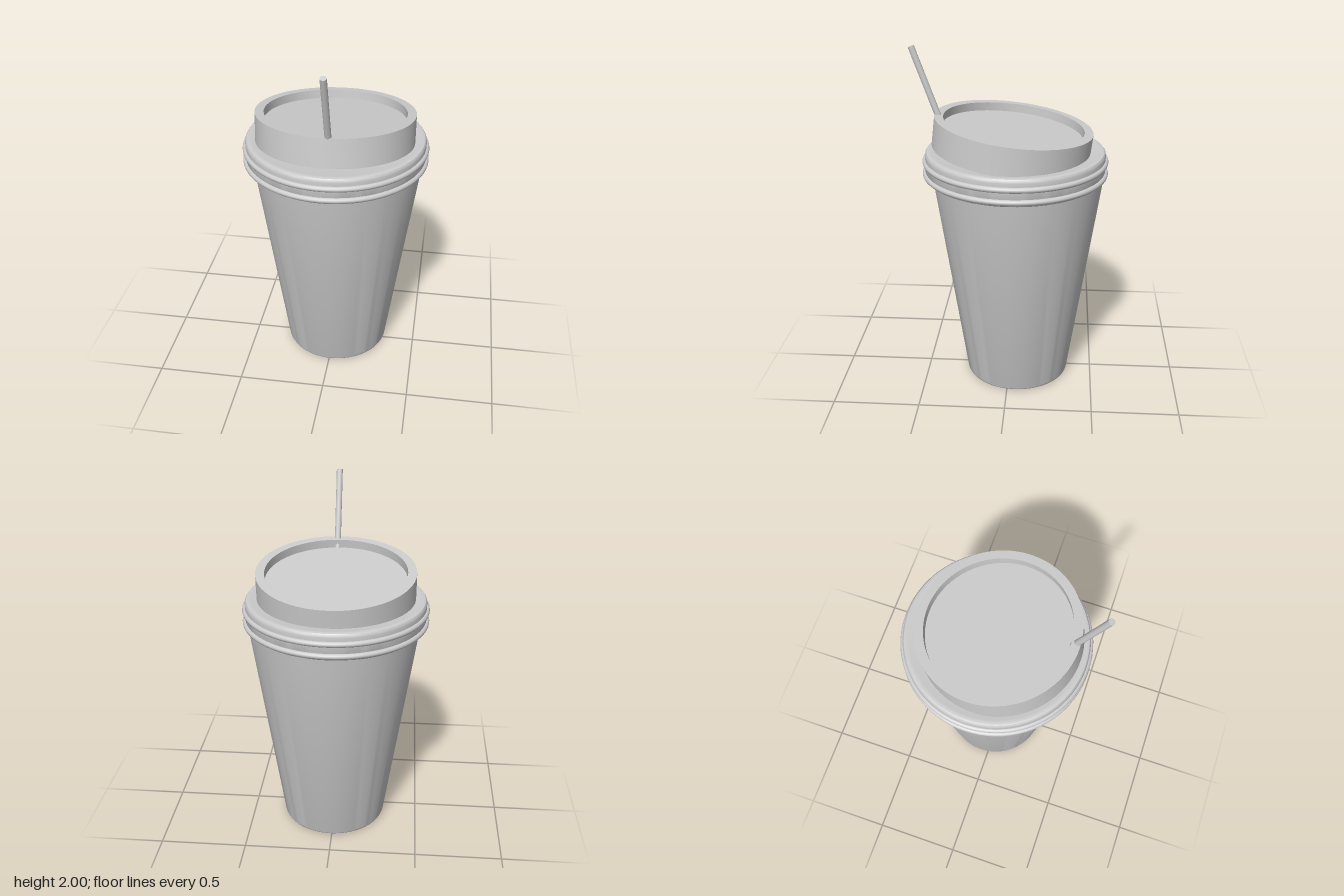
import * as THREE from 'three';
import { toCreasedNormals } from 'three/addons/utils/BufferGeometryUtils.js';

const plastic = new THREE.MeshStandardMaterial({ color: 0xcccccc });
plastic.name = 'light grey';

// Revolve a [radius, height] profile, keeping sharp corners sharp
function turned(name, profile, segments = 80) {
  const points = profile.map(([r, y]) => new THREE.Vector2(r, y));
  const geometry = toCreasedNormals(new THREE.LatheGeometry(points, segments), 0.6);
  const mesh = new THREE.Mesh(geometry, plastic);
  mesh.name = name;
  return mesh;
}

export function createModel() {
  const model = new THREE.Group();
  model.name = 'takeawayCup';

  // Tapered cup with a recessed base and rounded foot
  const cup = turned('cup', [
    [0, 0.04], [0.253, 0.04], [0.253, 0.004], [0.257, 0],
    [0.295, 0], [0.302, 0.004], [0.306, 0.011], [0.308, 0.02],
    [0.487, 1.25], [0.493, 1.29], [0, 1.29],
  ]);
  cup.position.set(0.008, 0, -0.047);
  model.add(cup);

  // Lid collar with two beads round its side
  const lid = new THREE.Group();
  lid.name = 'lid';
  lid.position.z = -0.03;
  lid.add(turned('lidCollar', [
    [0, 1.262], [0.5, 1.257], [0.508, 1.262], [0.513, 1.27],
    [0.513, 1.39], [0.511, 1.402], [0.505, 1.41], [0.496, 1.413],
    [0.475, 1.411], [0.44, 1.405], [0, 1.405],
  ]));
  for (const y of [1.285, 1.354]) {
    const bead = new THREE.Mesh(new THREE.TorusGeometry(0.513, 0.016, 12, 80), plastic);
    bead.name = 'lidBead';
    bead.rotation.x = Math.PI / 2;
    bead.position.y = y;
    lid.add(bead);
  }
  model.add(lid);

  // Tilted raised top with a sunken centre; its origin is the rim centre
  const top = turned('raisedTop', [
    [0, -0.166], [0.45, -0.166], [0.45, 0], [0.4, 0], [0.4, -0.05], [0, -0.05],
  ]);
  top.position.set(0, 1.564, -0.023);
  top.rotation.x = -0.119;
  model.add(top);

  // Straw leaning towards the front
  const tip = new THREE.Vector3(0.024, 1.994, 0.54);
  const end = new THREE.Vector3(0.024, 0.9, 0.151);
  const straw = new THREE.Mesh(
    new THREE.CylinderGeometry(0.018, 0.018, tip.distanceTo(end), 20), plastic);
  straw.name = 'straw';
  straw.position.addVectors(tip, end).multiplyScalar(0.5);
  straw.quaternion.setFromUnitVectors(
    new THREE.Vector3(0, 1, 0), tip.clone().sub(end).normalize());
  model.add(straw);

  return model;
}
